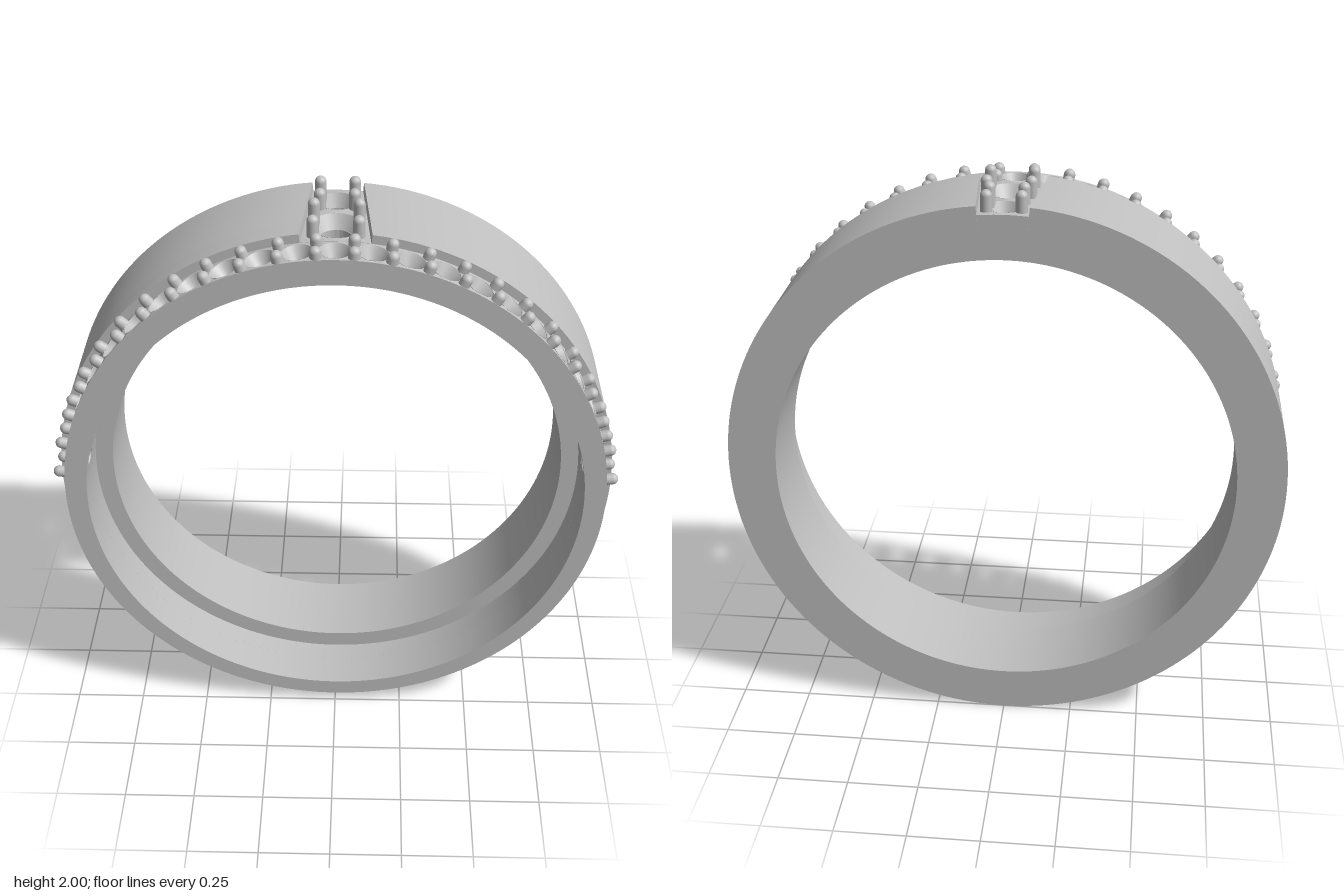
import * as THREE from 'three';
import { mergeGeometries, toCreasedNormals } from 'three/addons/utils/BufferGeometryUtils.js';

// Circles [centre height, radius] that bound the ring's layers
const BORE = [0.967, 0.81], RECESS = [0.967, 0.872], OUTER = [0.98, 0.98];
const FRONT_MID = [0.975, 0.912], FRONT_OUTER = [0.982, 0.947];
const PANEL_MID = [0.978, 0.905], PANEL_TOP = [0.98, 0.95];
const BACK = -0.25, STEP = 0.045, SEAM = 0.125, FRONT = 0.25;
const PITCH = THREE.MathUtils.degToRad(7.33), STONES = 11, ROW_Z = 0.1865;

// Point on a circle, angle measured from the top towards +x
const on = ([c, r], a) => [Math.sin(a) * r, c + Math.cos(a) * r];

// Wrap a slab (x = angle, y = 0..1 through the wall) between two circles
function bend(geo, lo, hi, angle) {
  const p = geo.attributes.position;
  for (let i = 0; i < p.count; i++) {
    const t = p.getY(i), z = p.getZ(i), a = angle(p.getX(i), z);
    const [x0, y0] = on(lo, a), [x1, y1] = on(hi, a);
    p.setXYZ(i, x0 + (x1 - x0) * t, y0 + (y1 - y0) * t, z);
  }
  return geo;
}

// Half width of the tapered pocket across the top
const pocket = (z) => 0.085 + 0.03 * (z - BACK) / (SEAM - BACK);

// Ring section with a gap at the top, given as a half angle at each depth
function arc(z0, z1, lo, hi, gap) {
  const g = new THREE.BoxGeometry(1, 1, z1 - z0, 160, 1, 1).translate(0, 0.5, (z0 + z1) / 2);
  return toCreasedNormals(bend(g, lo, hi, (x, z) => Math.PI + 2 * x * (Math.PI - gap(z))), 0.5);
}

// Outline of (x, z) corners with subdivided edges
function outline(corners) {
  const pts = [];
  corners.forEach(([x, z], i) => {
    const [nx, nz] = corners[(i + 1) % corners.length];
    for (let k = 0; k < 6; k++) pts.push(new THREE.Vector2(x + (nx - x) * k / 6, -(z + (nz - z) * k / 6)));
  });
  return new THREE.Shape(pts);
}

function slab(shape, holes = []) {
  for (const [z, r] of holes) shape.holes.push(new THREE.Path().absarc(0, -z, r, 0, Math.PI * 2, true));
  return new THREE.ExtrudeGeometry(shape, { depth: 1, bevelEnabled: false, curveSegments: 28 }).rotateX(-Math.PI / 2);
}

const trapezoid = (z0, z1) => outline([
  [-pocket(z1), z1], [pocket(z1), z1], [pocket(z0), z0], [-pocket(z0), z0]]);

export function createModel() {
  const group = new THREE.Group();
  const metal = new THREE.MeshStandardMaterial({ color: 0xbfbfbf, side: THREE.DoubleSide });
  metal.name = 'greyMetal';
  const add = (name, geo) => {
    const m = new THREE.Mesh(geo, metal);
    m.name = name;
    group.add(m);
    return m;
  };

  // Wide band, open at the top for the pocket, and the stepped front band
  const pocketGap = (z) => pocket(z) / PANEL_TOP[1];
  add('mainBand', arc(BACK, STEP, BORE, OUTER, pocketGap));
  add('mainBandRecessed', arc(STEP, SEAM, RECESS, OUTER, pocketGap));
  add('frontBand', arc(SEAM, FRONT, RECESS, FRONT_OUTER, () => (STONES + 0.5) * PITCH));

  // Pocket floor in three layers: wide seats, narrow bores, lower bore with the step cutting it
  const stones = [
    { z: 0.015, seat: 0.088, bore: 0.06, px: 0.075, pz: [0.083, -0.04] },
    { z: -0.163, seat: 0.065, bore: 0.045, px: 0.058, pz: [-0.113, -0.207] },
  ];
  const flat = (x) => x / PANEL_TOP[1];
  const layer = (name, geo, lo, hi) => add(name, toCreasedNormals(bend(geo, lo, hi, flat), 0.5));
  layer('pocketFloor', slab(trapezoid(BACK, SEAM), stones.map((s) => [s.z, s.seat])), PANEL_MID, PANEL_TOP);
  layer('pocketBase', slab(trapezoid(BACK, SEAM), stones.map((s) => [s.z, s.bore])), RECESS, PANEL_MID);
  const [big, small] = stones;
  const drop = STEP - big.z, chord = Math.sqrt(big.bore ** 2 - drop ** 2);
  const lower = new THREE.Shape();
  const w1 = pocket(STEP), w0 = pocket(BACK);
  lower.moveTo(-w1, -STEP);
  lower.lineTo(-chord, -STEP);
  lower.absarc(0, -big.z, big.bore, Math.atan2(-drop, -chord), Math.atan2(-drop, chord), true);
  lower.lineTo(w1, -STEP);
  lower.lineTo(w0, -BACK);
  for (let k = 1; k <= 6; k++) lower.lineTo(w0 - 2 * w0 * k / 6, -BACK);
  layer('pocketUnderside', slab(lower, [[small.z, small.bore]]), BORE, RECESS);

  // Conical seat standing between two heights on its own axis
  const cone = (top, bottom, height) => new THREE.CylinderGeometry(top, bottom, height, 28, 1, true);
  const prong = (length) => new THREE.CapsuleGeometry(0.02, length - 0.04, 5, 12).translate(0, -length / 2, 0);
  const yLow = PANEL_MID[0] + PANEL_MID[1], yTop = PANEL_TOP[0] + PANEL_TOP[1];
  for (const s of stones) {
    add('topSeat', cone(s.seat, s.bore, yTop - yLow)).position.set(0, (yTop + yLow) / 2, s.z);
    for (const side of [-1, 1]) {
      for (const z of s.pz) add('topProng', prong(0.12)).position.set(side * s.px, 2, z);
    }
  }

  // Row of small seats along the upper half of the front band
  const half = PITCH * FRONT_OUTER[1] / 2;
  const cells = [];
  for (let i = -STONES; i <= STONES; i++) {
    const a = i * PITCH;
    const cell = (r, lo, hi) => {
      const rect = outline([[-half, FRONT], [half, FRONT], [half, SEAM], [-half, SEAM]]);
      cells.push(bend(slab(rect, [[ROW_Z, r]]), lo, hi, (x) => a + x / FRONT_OUTER[1]));
    };
    cell(0.03, RECESS, FRONT_MID);
    cell(0.053, FRONT_MID, FRONT_OUTER);
    const [x0, y0] = on(FRONT_MID, a), [x1, y1] = on(FRONT_OUTER, a);
    const seat = add('frontSeat', cone(0.053, 0.03, Math.hypot(x1 - x0, y1 - y0)));
    seat.position.set((x0 + x1) / 2, (y0 + y1) / 2, ROW_Z);
    seat.rotation.z = -a;
  }
  add('frontSeatBand', toCreasedNormals(mergeGeometries(cells), 0.5));

  // Pairs of prongs between neighbouring seats
  for (let i = 0; i <= STONES; i++) {
    for (const side of [-1, 1]) {
      for (const z of [0.143, 0.23]) {
        const a = side * (i + 0.5) * PITCH;
        const p = add('frontProng', prong(0.09));
        p.position.set(...on([0.98, 0.988], a), z);
        p.rotation.z = -a;
      }
    }
  }
  return group;
}
